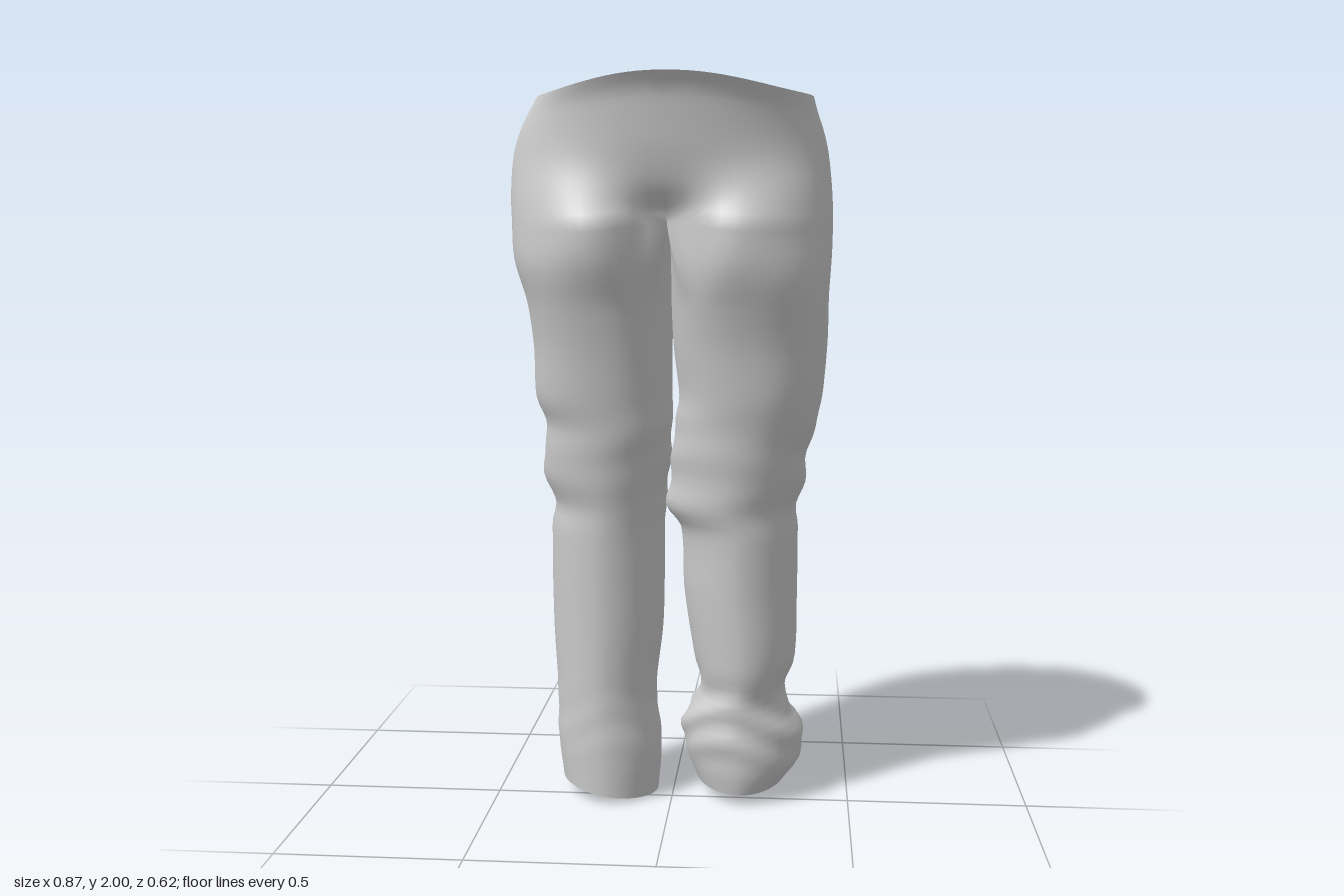
import * as THREE from 'three';
import { mergeVertices } from 'three/addons/utils/BufferGeometryUtils.js';

const CROTCH = 1.62, HIP_ROWS = 18, LEG_ROWS = 72, OUTER = 40, INNER = 14;

// hips: y, left half width, right half width, front z, back z, front dent, back dent
const HIPS = [
  [1.62, 0.435, 0.435, 0.335, -0.33, 0.15, 0.10],
  [1.70, 0.433, 0.44, 0.31, -0.335, 0.08, 0.06],
  [1.80, 0.423, 0.435, 0.28, -0.33, 0.02, 0.025],
  [1.90, 0.405, 0.41, 0.278, -0.305, 0, 0.005],
  [1.96, 0.39, 0.385, 0.29, -0.28, 0, 0],
  [2.00, 0.38, 0.36, 0.313, -0.26, 0, 0],
];
// legs, from hem to crotch: y, inner x, outer x, back z, front z
const LEFT = [
  [0.03, 0.065, 0.32, -0.245, 0.07], [0.10, 0.04, 0.365, -0.25, 0.085],
  [0.20, 0.025, 0.365, -0.235, 0.09], [0.27, 0.05, 0.33, -0.215, 0.085],
  [0.31, 0.08, 0.315, -0.225, 0.085], [0.40, 0.06, 0.345, -0.245, 0.10],
  [0.60, 0.03, 0.35, -0.25, 0.11], [0.78, 0.02, 0.35, -0.25, 0.122],
  [0.84, -0.02, 0.345, -0.24, 0.13], [0.90, -0.01, 0.365, -0.23, 0.14],
  [1.00, 0, 0.375, -0.195, 0.155], [1.09, 0.01, 0.40, -0.185, 0.17],
  [1.15, 0.02, 0.412, -0.20, 0.185], [1.30, 0.005, 0.425, -0.22, 0.215],
  [1.45, 0, 0.427, -0.248, 0.265], [1.54, 0, 0.43, -0.265, 0.29], [1.62, 0, 0.435, -0.30, 0.30],
];
const RIGHT = [
  [0.02, 0.045, 0.32, -0.215, 0.085], [0.15, 0.035, 0.333, -0.215, 0.09],
  [0.30, 0.05, 0.335, -0.225, 0.09], [0.50, 0.03, 0.345, -0.24, 0.10],
  [0.78, 0.025, 0.345, -0.24, 0.118], [0.85, 0.02, 0.335, -0.235, 0.125],
  [0.95, 0.01, 0.365, -0.215, 0.145], [1.07, 0, 0.347, -0.175, 0.165],
  [1.15, 0, 0.375, -0.19, 0.18], [1.30, 0, 0.38, -0.22, 0.21],
  [1.45, 0, 0.40, -0.248, 0.25], [1.54, 0, 0.42, -0.265, 0.275], [1.62, 0, 0.435, -0.30, 0.29],
];

const { lerp, smoothstep } = THREE.MathUtils;
const bump = (v, centre, width) => Math.exp(-(((v - centre) / width) ** 2));
const power = (v, p) => Math.sign(v) * Math.abs(v) ** p;

// Row of a table at height y, joined by smooth cubic curves
function sample(table, y) {
  const last = table.length - 1;
  let i = 0;
  while (i < last - 1 && table[i + 1][0] < y) i++;
  const span = table[i + 1][0] - table[i][0];
  const t = THREE.MathUtils.clamp((y - table[i][0]) / span, 0, 1);
  const slope = (n, k) => {
    const a = table[Math.max(n - 1, 0)], b = table[Math.min(n + 1, last)];
    return (b[k] - a[k]) / (b[0] - a[0]);
  };
  return table[i].map((v, k) => lerp(v, table[i + 1][k], t * t * (3 - 2 * t))
    + span * t * (1 - t) * ((1 - t) * slope(i, k) - t * slope(i + 1, k)));
}

// Half outline of the hips, t from front seam (0) to back seam (1)
function hipPoint(y, t, side) {
  const [, wl, wr, zf, zb, df, db] = sample(HIPS, y);
  const a = Math.PI * (0.5 - t);
  const c = t === 0 || t === 1 ? 0 : Math.cos(a);
  const sine = Math.sin(a);
  // Seat is squarer than the belly
  const x = (side > 0 ? wl : wr) * power(c, sine < 0 ? 0.82 : 0.92);
  const dent = bump(x, 0, 0.12 + 0.7 * (y - CROTCH)) * (sine > 0 ? -df : db);
  const z = (zf + zb) / 2 + ((zf - zb) / 2) * sine + dent;
  const waist = 0.045 * (1 - sine ** 4) * smoothstep(y, 1.8, 2);
  return [x, y - waist, z];
}

// Closed leg outline; its outer arc continues the hip outline, its inner arc the crotch seam
function legPoint(y, j, side) {
  const [, xi, xo, zb, zf] = sample(side > 0 ? LEFT : RIGHT, y);
  const a = j <= OUTER
    ? Math.PI * (0.75 - 1.5 * j / OUTER)
    : Math.PI * (-0.75 - 0.5 * (j - OUTER) / INNER);
  const p = lerp(1.08, 0.9, smoothstep(y, 0.8, 1.3));
  let x = (xi + xo) / 2 + ((xo - xi) / 2) * power(Math.cos(a), p);
  let z = (zf + zb) / 2 + ((zf - zb) / 2) * power(Math.sin(a), p);

  // Cloth folds behind the knee and over the ankle
  const knee = bump(y, 0.97, 0.14) * (0.6 - 0.4 * Math.sin(a));
  const ankle = bump(y, 0.23, 0.1) * (side > 0 ? 1 : 0.2);
  const fold = 0.007 * (knee * Math.sin(48 * y + 2.5 * Math.cos(a + side))
    + ankle * Math.sin(60 * y + 3 * Math.sin(a * 2 + 1)));
  x += fold * Math.cos(a);
  z += fold * Math.sin(a);

  // Sloping hems
  const low = 1 - smoothstep(y, 0, 0.25);
  const h = y + low * (side > 0 ? 0.02 - 0.12 * (z + 0.08) : 0.16 * (x - 0.17));

  // Blend into the crotch outline
  const s = smoothstep(y, 1.4, CROTCH);
  let top;
  if (j <= OUTER) top = hipPoint(CROTCH, j / OUTER, side);
  else {
    const f = hipPoint(CROTCH, 0, side)[2], b = hipPoint(CROTCH, 1, side)[2];
    top = [0, CROTCH, lerp(b, f, (j - OUTER) / INNER)];
  }
  return [lerp(x, top[0], s), h, lerp(z, top[2], s)];
}

function createModel() {
  const positions = [], index = [], ranges = [];

  // Adds a grid of rows running from top to bottom
  function addGrid(rows, columns, side, point) {
    const base = positions.length / 3;
    for (let r = 0; r <= rows; r++) {
      for (let j = 0; j <= columns; j++) {
        let [x, y, z] = point(r / rows, j);
        // Crotch seam rises towards the front
        y += 0.13 * Math.max(z, 0) * bump(y, CROTCH, 0.08) * bump(x, 0, 0.12);
        positions.push(x * side, y, z);
      }
    }
    for (let r = 0; r < rows; r++) {
      for (let j = 0; j < columns; j++) {
        const a = base + r * (columns + 1) + j, b = a + 1, c = a + columns + 1, d = c + 1;
        if (side > 0) index.push(a, b, c, b, d, c);
        else index.push(a, c, b, b, c, d);
      }
    }
  }
  function part(name, build) {
    const start = index.length;
    build();
    ranges.push([name, start, index.length]);
  }

  part('hips', () => {
    for (const side of [1, -1]) {
      addGrid(HIP_ROWS, OUTER, side, (v, j) => hipPoint(lerp(2, CROTCH, v), j / OUTER, side));
    }
  });
  for (const [name, side, hem] of [['leftLeg', 1, LEFT[0][0]], ['rightLeg', -1, RIGHT[0][0]]]) {
    part(name, () => addGrid(LEG_ROWS, OUTER + INNER, side,
      (v, j) => legPoint(lerp(CROTCH, hem, v), j % (OUTER + INNER), side)));
  }

  // Shared smooth normals across all parts
  let cloth = new THREE.BufferGeometry();
  cloth.setAttribute('position', new THREE.Float32BufferAttribute(positions, 3));
  cloth.setIndex(index);
  cloth = mergeVertices(cloth, 1e-5);
  cloth.computeVertexNormals();

  const material = new THREE.MeshStandardMaterial({ color: 0xcccccc, side: THREE.DoubleSide });
  const group = new THREE.Group();
  group.name = 'trousers';
  const merged = Array.from(cloth.index.array);
  for (const [name, start, end] of ranges) {
    const geometry = new THREE.BufferGeometry();
    geometry.setAttribute('position', cloth.attributes.position);
    geometry.setAttribute('normal', cloth.attributes.normal);
    geometry.setIndex(merged.slice(start, end));
    const mesh = new THREE.Mesh(geometry, material);
    mesh.name = name;
    group.add(mesh);
  }
  return group;
}

export { createModel };
